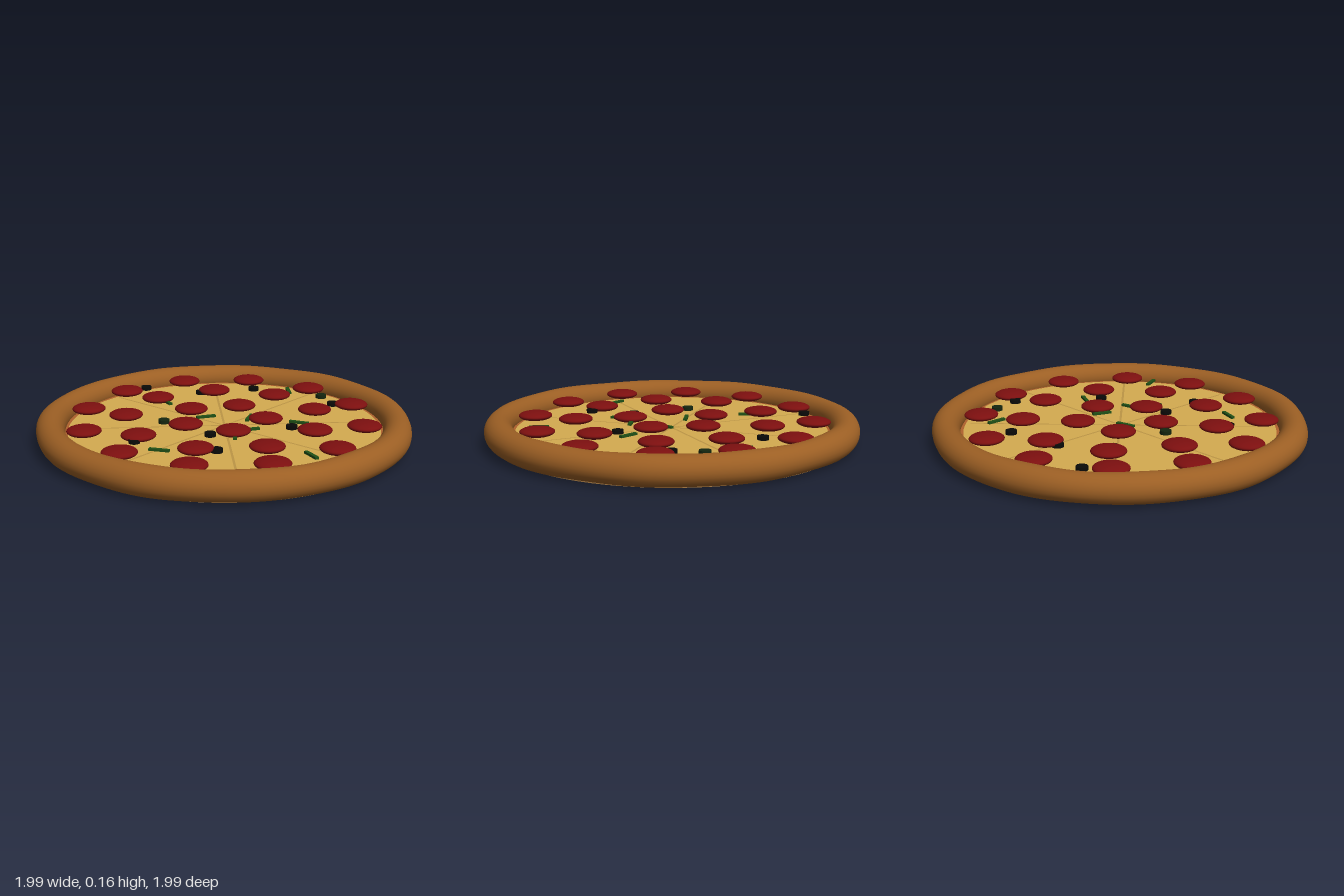
import * as THREE from 'three';

const mat = (color) => new THREE.MeshStandardMaterial({ color });
const CHEESE_Y = 0.067;

function add(parent, name, geometry, material, x = 0, y = 0, z = 0) {
  const mesh = new THREE.Mesh(geometry, material);
  mesh.name = name;
  mesh.position.set(x, y, z);
  parent.add(mesh);
  return mesh;
}

function group(parent, name) {
  const g = new THREE.Group();
  g.name = name;
  parent.add(g);
  return g;
}

// Hand-rolled ring: a torus whose thickness and radius drift gently around the circle
function crustGeometry() {
  const geo = new THREE.TorusGeometry(0.92, 0.075, 24, 128);
  geo.rotateX(-Math.PI / 2);
  const p = geo.attributes.position;
  for (let i = 0; i < p.count; i++) {
    const x = p.getX(i), y = p.getY(i), z = p.getZ(i);
    const a = Math.atan2(z, x);
    const r = Math.hypot(x, z);
    const swell = 1 + 0.015 * Math.sin(5 * a + 0.4) + 0.02 * Math.sin(11 * a + 1.5);
    const ring = 0.922 - 0.003 * Math.sin(a) + 0.002 * Math.sin(9 * a + 2);
    const radius = ring + (r - 0.92) * swell;
    p.setXYZ(i, radius * Math.cos(a), y * swell, radius * Math.sin(a));
  }
  geo.computeVertexNormals();
  // Share the normals across the closing seams
  const n = geo.attributes.normal, row = 129;
  const weld = (i, j) => {
    const v = new THREE.Vector3().fromBufferAttribute(n, i)
      .add(new THREE.Vector3().fromBufferAttribute(n, j)).normalize();
    n.setXYZ(i, v.x, v.y, v.z);
    n.setXYZ(j, v.x, v.y, v.z);
  };
  for (let k = 0; k <= 24; k++) weld(k * row, k * row + 128);
  for (let k = 0; k < row; k++) weld(k, 24 * row + k);
  return geo;
}

export function createModel() {
  const pizza = new THREE.Group();
  pizza.name = 'pizza';

  // Dough ring and flat base
  add(pizza, 'crust', crustGeometry(), mat(0x9c5f24), 0, 0.083, 0);
  add(pizza, 'base', new THREE.CylinderGeometry(0.92, 0.92, 0.04, 96), mat(0xa87a42), 0, 0.022, 0);

  // Flat cheese with a thin ring of sauce showing around it
  const sauceGeo = new THREE.RingGeometry(0.835, 0.88, 96).rotateX(-Math.PI / 2);
  const cheeseGeo = new THREE.CircleGeometry(0.835, 96).rotateX(-Math.PI / 2);
  add(pizza, 'sauce', sauceGeo, mat(0xb0622c), 0, CHEESE_Y, 0);
  add(pizza, 'cheese', cheeseGeo, mat(0xd4ab50), 0, CHEESE_Y, 0);

  // Faint cut lines dividing eight slices
  const cuts = group(pizza, 'sliceLines');
  const cutGeo = new THREE.PlaneGeometry(1.62, 0.012).rotateX(-Math.PI / 2);
  const cutMat = mat(0xbd9645);
  for (let i = 0; i < 4; i++) {
    const cut = add(cuts, 'sliceLine', cutGeo, cutMat, 0, CHEESE_Y + 0.0015 + i * 0.0003, 0);
    cut.rotation.y = i * Math.PI / 4;
  }

  // Sausage slices: outer, middle and inner rings of flattened domes
  const slices = [
    [0.015, -0.76], [0.39, -0.65], [0.66, -0.37], [0.75, 0.01], [0.64, 0.385], [0.36, 0.655],
    [-0.02, 0.745], [-0.395, 0.635], [-0.665, 0.35], [-0.755, -0.025], [-0.645, -0.4], [-0.365, -0.67],
    [0.037, -0.53], [0.36, -0.385], [0.515, -0.06], [0.43, 0.285], [0.14, 0.495],
    [-0.22, 0.465], [-0.47, 0.215], [-0.51, -0.14], [-0.31, -0.435],
    [0, -0.24], [0.22, -0.08], [0.13, 0.18], [-0.14, 0.18], [-0.22, -0.08],
  ];
  const pepperoni = group(pizza, 'pepperoni');
  const sliceGeo = new THREE.SphereGeometry(0.091, 32, 16).scale(1, 0.28, 1);
  const sliceMat = mat(0x7c0f0f);
  for (const [x, z] of slices) add(pepperoni, 'pepperoniSlice', sliceGeo, sliceMat, x, 0.116, z);

  // Olive pieces, the last two greener
  const olives = group(pizza, 'olives');
  const oliveGeo = new THREE.CylinderGeometry(0.03, 0.03, 0.02, 20);
  const oliveMat = mat(0x0a0a08);
  const greenMat = mat(0x14260f);
  const oliveSpots = [
    [0.153, -0.74], [0.295, -0.43], [0.553, -0.245], [0.602, 0.285], [0.12, 0.36],
    [-0.248, 0.115], [-0.41, 0.3], [-0.575, -0.105], [-0.243, -0.217], [0.685, 0.148],
  ];
  oliveSpots.forEach(([x, z], i) => add(olives, 'olive', oliveGeo, i < 8 ? oliveMat : greenMat, x, 0.108, z));

  // Green pepper strips, each given by its centre and direction on the cheese
  const herbs = group(pizza, 'greenStrips');
  const stripGeo = new THREE.BoxGeometry(0.105, 0.012, 0.02);
  const stripMat = mat(0x1f5016);
  const strips = [
    [-0.033, -0.103, 0.09, 0.055], [0.657, -0.065, 0.07, -0.07], [-0.586, 0.078, 0.045, 0.095],
    [0.102, 0.088, 0.1, -0.045], [0.21, 0.34, 0.035, 0.1], [-0.163, 0.69, 0.04, -0.1],
    [-0.05, 0.215, 0.08, 0.05], [0.03, -0.455, 0.035, -0.09], [-0.18, 0.225, 0.06, -0.05],
  ];
  for (const [x, z, dx, dz] of strips) {
    add(herbs, 'greenStrip', stripGeo, stripMat, x, 0.106, z).rotation.y = -Math.atan2(dz, dx);
  }
  return pizza;
}
